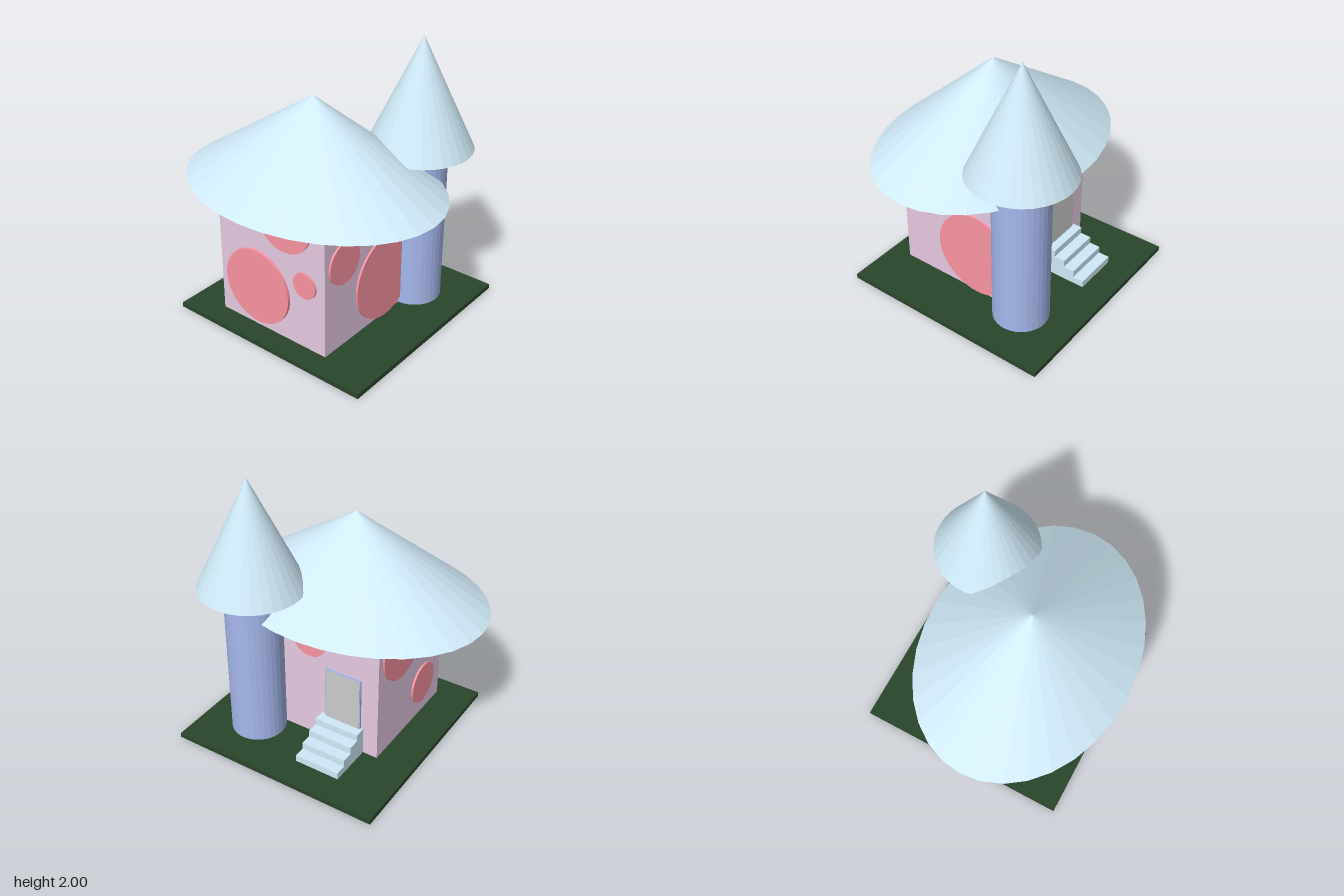
import * as THREE from 'three';

const material = (color, extra = {}) => new THREE.MeshStandardMaterial({ color, ...extra });
const mats = {
  ground: material(0x2a452b),
  wall: material(0xe6c9e2),
  spot: material(0xfa94a2),
  tower: material(0xa6b8ec, { flatShading: true }),
  roof: material(0xd0eaf8, { flatShading: true }),
  door: material(0xcccccc),
};

const TURN = 0.15;        // the whole plot is turned slightly
const W = 0.9, D = 0.93;  // house width and depth
const GROUND = 0.035, EAVES = 1.02;

function add(parent, name, geometry, mat, x = 0, y = 0, z = 0) {
  const mesh = new THREE.Mesh(geometry, mat);
  mesh.name = name;
  mesh.position.set(x, y, z);
  parent.add(mesh);
  return mesh;
}

export function createModel() {
  const model = new THREE.Group();
  model.name = 'house';

  // Square plot
  add(model, 'ground', new THREE.BoxGeometry(1.6, GROUND, 1.6), mats.ground, 0.017, GROUND / 2, 0.03)
    .rotation.y = TURN;

  // House body, with its own turned frame
  const house = new THREE.Group();
  house.name = 'mainHouse';
  house.position.set(-0.18, 0, -0.003);
  house.rotation.y = TURN;
  model.add(house);
  add(house, 'walls', new THREE.BoxGeometry(W, EAVES - GROUND, D), mats.wall, 0, (EAVES + GROUND) / 2, 0);

  // Oval cone roof
  const roofHeight = 1.65 - EAVES;
  add(house, 'mainRoof', new THREE.ConeGeometry(1, roofHeight, 32), mats.roof, 0, EAVES + roofHeight / 2, 0)
    .scale.set(0.739, 1, 0.98);

  // Round spots: position along the wall, height, radius, thickness
  const spots = {
    front: [[0.2, 0.36, 0.325, 0.015], [-0.257, 0.685, 0.155, 0.015], [0.207, 0.96, 0.19, 0.015]],
    back: [[0.14, 0.83, 0.265, 0.015], [-0.18, 0.3, 0.157, 0.015]],
    left: [[0.09, 0.835, 0.135, 0.003]],
    right: [[-0.12, 0.36, 0.283, 0.02], [0.3, 0.535, 0.095, 0.015], [0.13, 0.96, 0.23, 0.015]],
  };
  for (const [side, list] of Object.entries(spots)) {
    for (const [along, y, r, t] of list) {
      const disc = new THREE.CylinderGeometry(r, r, t * 2, 48);
      if (side === 'front' || side === 'back') {
        disc.rotateX(Math.PI / 2);
        add(house, side + 'Spot', disc, mats.spot, along, y, (side === 'front' ? 1 : -1) * D / 2);
      } else {
        disc.rotateZ(Math.PI / 2);
        add(house, side + 'Spot', disc, mats.spot, (side === 'left' ? 1 : -1) * W / 2, y, along);
      }
    }
  }

  // Door with a thin frame
  const doorTop = 0.655, doorH = doorTop - GROUND;
  add(house, 'doorFrame', new THREE.BoxGeometry(0.03, doorH, 0.285), mats.tower, W / 2, GROUND + doorH / 2, -0.19);
  add(house, 'door', new THREE.BoxGeometry(0.036, doorH - 0.008, 0.271), mats.door, W / 2, GROUND + doorH / 2 - 0.004, -0.19);

  // Four steps as one stepped profile
  const steps = 4, tread = 0.0825, rise = 0.0525;
  const profile = new THREE.Shape();
  profile.moveTo(0, GROUND);
  profile.lineTo(0, GROUND + steps * rise);
  for (let i = 0; i < steps; i++) {
    const x = (i + 1) * tread;
    profile.lineTo(x, GROUND + (steps - i) * rise);
    profile.lineTo(x, GROUND + (steps - i - 1) * rise);
  }
  const stairs = new THREE.ExtrudeGeometry(profile, { depth: 0.343, bevelEnabled: false });
  add(house, 'steps', stairs, mats.roof, W / 2, 0, -0.352);

  // Round tower and its pointed roof
  const tower = new THREE.Group();
  tower.name = 'tower';
  tower.position.set(0.46, 0, 0.363);
  model.add(tower);
  const top = 1.21;
  add(tower, 'towerWall', new THREE.CylinderGeometry(0.2, 0.2, top - GROUND, 32), mats.tower, 0, (top + GROUND) / 2, 0);
  add(tower, 'towerRoof', new THREE.ConeGeometry(0.374, 2 - top, 32), mats.roof, 0, (2 + top) / 2, 0);

  return model;
}
